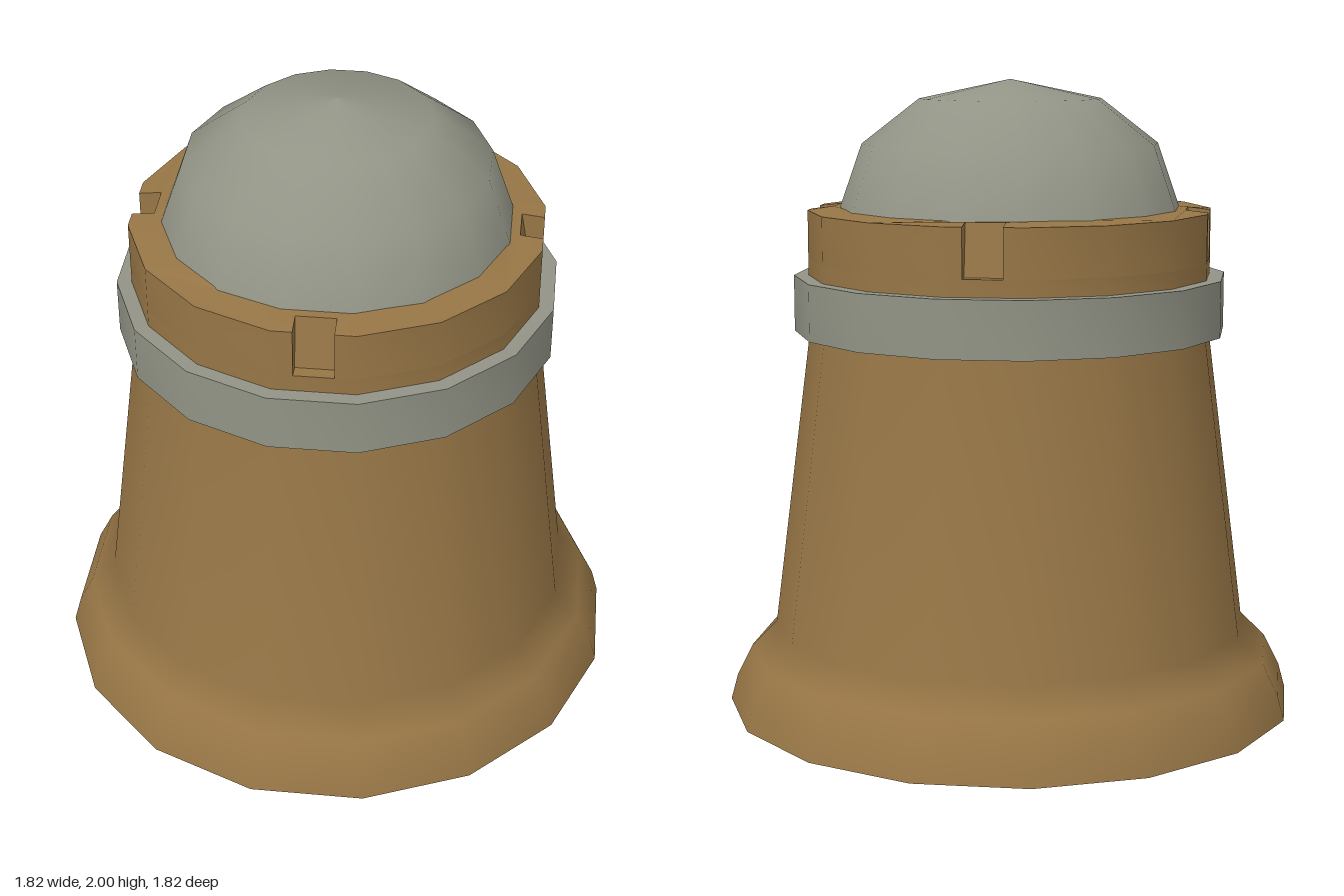
import * as THREE from 'three';
import { toCreasedNormals } from 'three/addons/utils/BufferGeometryUtils.js';

const SIDES = 16;
const STEP = (Math.PI * 2) / SIDES;

export function createModel() {
  const group = new THREE.Group();
  const brass = new THREE.MeshStandardMaterial({ color: 0x977646, side: THREE.DoubleSide });
  brass.name = 'brass';
  const grey = new THREE.MeshStandardMaterial({ color: 0x929486, side: THREE.DoubleSide });
  grey.name = 'grey metal';

  function add(name, geometry, material) {
    const mesh = new THREE.Mesh(geometry, material);
    mesh.name = name;
    group.add(mesh);
    return mesh;
  }
  const lathe = (profile) =>
    new THREE.LatheGeometry(profile.map(([r, y]) => new THREE.Vector2(r, y)), SIDES);

  // Hollow tapered body with a flared foot, open underneath
  add('body', lathe([[0.912, 0], [0.89, 0.08], [0.84, 0.18], [0.76, 0.26], [0.638, 1.21], [0.638, 1.39]]), brass);

  // Grey band around the neck
  add('band', toCreasedNormals(lathe(
    [[0.63, 1.21], [0.686, 1.21], [0.686, 1.387], [0.63, 1.387]]), 0.6), grey);

  // Solid lower part of the collar; its top is the floor of the notches
  add('collarBase', toCreasedNormals(lathe([[0.64, 1.38], [0.64, 1.44], [0.53, 1.44]]), 0.6), brass);

  // Notched upper part of the collar
  const apothem = 0.64 * Math.cos(STEP / 2);
  const halfWidth = 0.06;
  const topDepth = 0.07;
  const floorDepth = 0.04;
  const bottom = 1.44;
  const height = 0.16;
  const at = (r, a, t = 0) =>
    new THREE.Vector2(r * Math.sin(a) + t * Math.cos(a), -r * Math.cos(a) + t * Math.sin(a));
  const outline = [];
  const inner = [];
  const notchAngles = [];
  for (let i = 0; i < SIDES; i++) {
    outline.push(at(0.64, i * STEP));
    inner.push(at(0.53, i * STEP));
    if (i % 4 === 2) {
      const a = (i + 0.5) * STEP;
      notchAngles.push(a);
      outline.push(
        at(apothem, a, -halfWidth), at(apothem - topDepth, a, -halfWidth),
        at(apothem - topDepth, a, halfWidth), at(apothem, a, halfWidth));
    }
  }
  const shape = new THREE.Shape(outline);
  shape.holes.push(new THREE.Path(inner));
  const collar = new THREE.ExtrudeGeometry(shape, { depth: height, bevelEnabled: false });
  collar.rotateX(-Math.PI / 2).translate(0, bottom, 0);
  // Drop the outer rim a little so the top slopes outward
  const p = collar.attributes.position;
  for (let i = 0; i < p.count; i++) {
    if (p.getY(i) > 1.5 && Math.hypot(p.getX(i), p.getZ(i)) > 0.6) p.setY(i, p.getY(i) - 0.008);
  }
  add('collar', toCreasedNormals(collar, 0.6), brass);

  // Sloping back wall of each notch
  const lean = topDepth - floorDepth;
  for (const a of notchAngles) {
    const wall = new THREE.PlaneGeometry(halfWidth * 2, Math.hypot(height, lean));
    wall.rotateX(-Math.atan2(lean, height));
    wall.translate(0, bottom + height / 2, apothem - (topDepth + floorDepth) / 2);
    wall.rotateY(a);
    add('notchWall', wall, brass);
  }

  // Faceted-outline dome on top
  add('dome', lathe([[0.54, 1.595], [0.468, 1.8], [0.287, 1.94], [0, 2]]), grey);

  return group;
}
